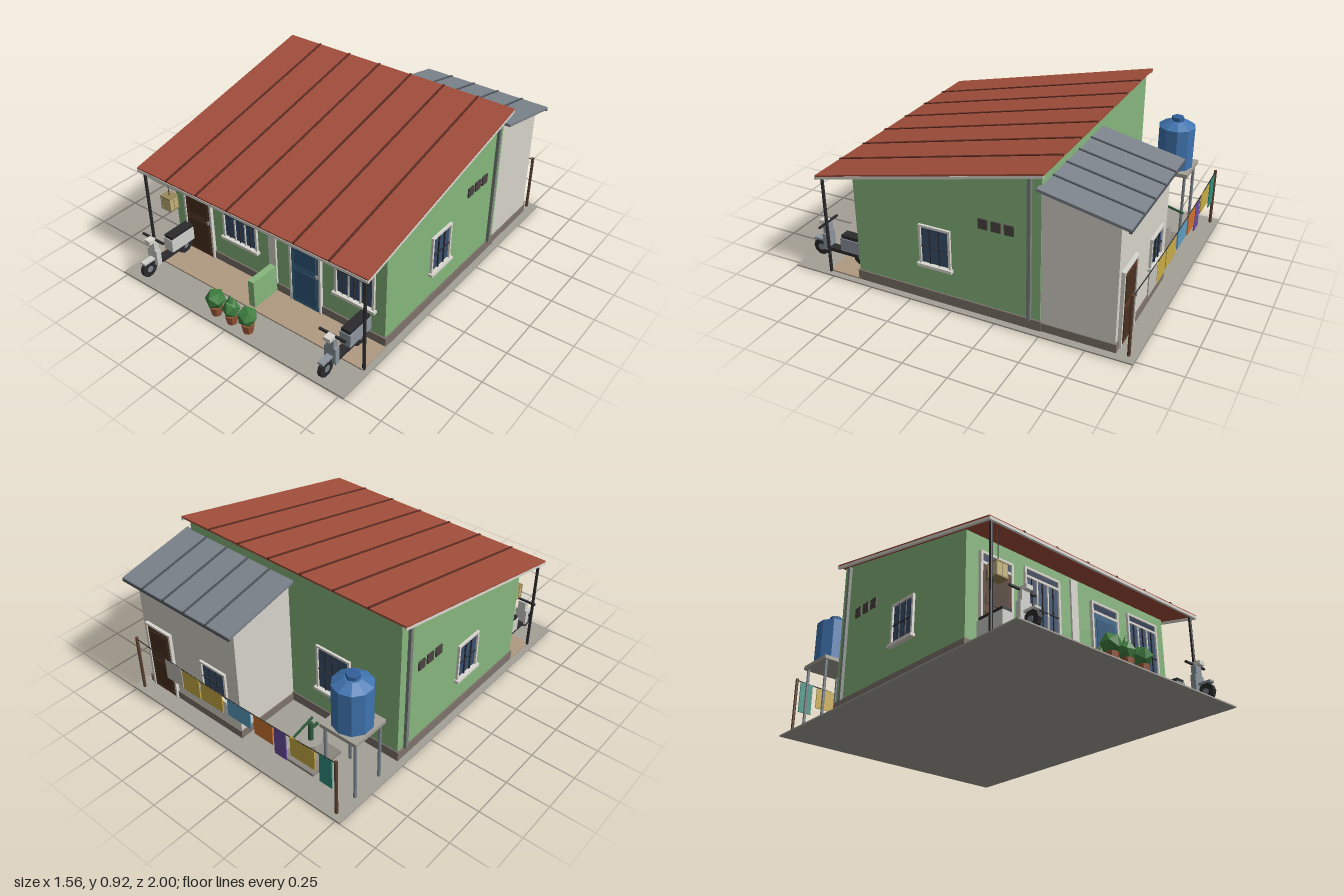
import * as THREE from 'three';

const C = {
  green: 0x86b67c, cream: 0xd6d3c9, plinth: 0x7d736b, slab: 0xa3a097, tan: 0xb09a82, roof: 0xa34f3c, rib: 0x5e2c22,
  white: 0xdad8d0, glass: 0x3a506f, darkGlass: 0x2b3a55, bar: 0x2c3138, dark: 0x2b2b2d, brown: 0x5a3a2a, darkBrown: 0x46301f,
  blue: 0x3c6a8c, darkBlue: 0x30587a, steel: 0x7b838b, darkSteel: 0x4f555c, pipe: 0x7c837e, clay: 0x9a5638, leaf: 0x3f8040,
  tank: 0x3f74b0, pump: 0x2f5a3c, concrete: 0x8b867c, wood: 0x5b4030, cage: 0xc4b27c,
};
const mats = {};
const mat = c => (mats[c] ??= new THREE.MeshStandardMaterial({ color: c, flatShading: true }));

function add(parent, name, geo, color, x = 0, y = 0, z = 0) {
  const m = new THREE.Mesh(geo, mat(color));
  m.name = name;
  m.position.set(x, y, z);
  parent.add(m);
  return m;
}
// Box given by its min and max on each axis
const box = (p, name, c, x0, x1, y0, y1, z0, z1) =>
  add(p, name, new THREE.BoxGeometry(x1 - x0, y1 - y0, z1 - z0), c, (x0 + x1) / 2, (y0 + y1) / 2, (z0 + z1) / 2);
const cyl = (p, name, c, r0, r1, y0, y1, x, z, n = 8) =>
  add(p, name, new THREE.CylinderGeometry(r1, r0, y1 - y0, n), c, x, (y0 + y1) / 2, z);
// Side profile of [z, y] points, swept from x0 to x1
function prism(p, name, c, pts, x0, x1) {
  const s = new THREE.Shape(pts.map(([z, y]) => new THREE.Vector2(-z, y)));
  const g = new THREE.ExtrudeGeometry(s, { depth: x1 - x0, bevelEnabled: false });
  return add(p, name, g.rotateY(Math.PI / 2).translate(x0, 0, 0), c);
}
// Sloped slab between two z positions
const slope = (p, name, c, za, ya, zb, yb, t, x0, x1) =>
  prism(p, name, c, [[za, ya], [zb, yb], [zb, yb - t], [za, ya - t]], x0, x1);
function group(p, name, x = 0, y = 0, z = 0, ry = 0) {
  const g = new THREE.Group();
  g.name = name;
  g.position.set(x, y, z);
  g.rotation.y = ry;
  p.add(g);
  return g;
}

// Window facing local +z, with grille and optional transom
function makeWindow(p, name, x, z, ry, w, y0, y1, transom, panes) {
  const g = group(p, name, x, 0, z, ry), h = w / 2, f = 0.013, top = transom ? y1 - 0.06 : y1 - f;
  box(g, 'glass', C.glass, -h + f, h - f, y0 + f, y1 - f, -0.01, 0.004);
  for (const s of [-1, 1]) box(g, 'jamb', C.white, s * (h - f / 2) - f / 2, s * (h - f / 2) + f / 2, y0, y1, -0.01, 0.014);
  box(g, 'head', C.white, -h, h, y1 - f, y1, -0.01, 0.014);
  box(g, 'sill', C.white, -h - 0.01, h + 0.01, y0 - 0.008, y0 + f * 0.7, -0.01, 0.026);
  if (transom) {
    box(g, 'transomRail', C.white, -h, h, top, top + 0.014, -0.01, 0.013);
    box(g, 'transomGlass', C.darkGlass, -h + f, h - f, top + 0.014, y1 - f, -0.01, 0.006);
  }
  const step = (w - 2 * f) / panes, mid = (y0 + top) / 2;
  for (let i = 0; i < panes; i++) {
    const bx = -h + f + step * i;
    if (i && transom) box(g, 'mullion', C.white, bx - 0.004, bx + 0.004, y0, top, 0, 0.011);
    else if (i) box(g, 'bar', C.bar, bx - 0.003, bx + 0.003, y0 + f, top, 0, 0.012);
    if (transom) box(g, 'bar', C.bar, bx + step / 2 - 0.002, bx + step / 2 + 0.002, y0 + f, top, 0, 0.012);
  }
  box(g, 'crossBar', C.bar, -h + f, h - f, mid - 0.002, mid + 0.002, 0, 0.012);
}

// Panelled door facing local +z
function makeDoor(p, name, x, z, ry, w, y1, color, panel, transom) {
  const g = group(p, name, x, 0, z, ry), h = w / 2, f = 0.013, top = transom ? y1 - 0.07 : y1 - f;
  for (const s of [-1, 1]) box(g, 'jamb', C.white, s * (h - f / 2) - f / 2, s * (h - f / 2) + f / 2, 0.01, y1, -0.01, 0.016);
  box(g, 'head', C.white, -h, h, y1 - f, y1, -0.01, 0.016);
  box(g, 'leaf', color, -h + f, h - f, 0.01, top, -0.01, 0.01);
  const mid = top * 0.53;
  for (const [a, b] of [[0.04, mid - 0.02], [mid + 0.02, top - 0.03]])
    box(g, 'panel', panel, -h + 0.035, h - 0.035, a, b, 0, 0.013);
  box(g, 'handle', C.steel, h - 0.032, h - 0.02, mid - 0.012, mid + 0.006, 0, 0.024);
  if (transom) {
    box(g, 'transomRail', C.white, -h, h, top, top + 0.015, -0.01, 0.015);
    box(g, 'transomGlass', C.darkGlass, -h + f, h - f, top + 0.015, y1 - f, -0.01, 0.006);
  }
}

// Parked scooter facing +z
function makeScooter(p, x, color) {
  const g = group(p, 'scooter', x, 0, 0);
  for (const z of [0.937, 0.663]) {
    add(g, 'wheel', new THREE.CylinderGeometry(0.05, 0.05, 0.024, 10).rotateZ(Math.PI / 2), C.dark, 0, 0.062, z);
    add(g, 'hub', new THREE.CylinderGeometry(0.02, 0.02, 0.028, 8).rotateZ(Math.PI / 2), C.steel, 0, 0.062, z);
  }
  box(g, 'footboard', C.dark, -0.024, 0.024, 0.062, 0.084, 0.68, 0.89);
  box(g, 'rearBody', color, -0.034, 0.034, 0.09, 0.17, 0.6, 0.78);
  box(g, 'seat', C.dark, -0.028, 0.028, 0.17, 0.19, 0.605, 0.775);
  box(g, 'legShield', color, -0.036, 0.036, 0.07, 0.17, 0.868, 0.9);
  box(g, 'steeringColumn', color, -0.024, 0.024, 0.17, 0.225, 0.868, 0.9);
  box(g, 'frontFender', color, -0.018, 0.018, 0.108, 0.12, 0.89, 0.975);
  box(g, 'headlight', C.white, -0.02, 0.02, 0.222, 0.246, 0.88, 0.925);
  box(g, 'handlebar', C.dark, -0.082, 0.082, 0.23, 0.24, 0.873, 0.885);
}

export function createModel() {
  const root = new THREE.Group();
  root.name = 'rowHouse';

  // Ground and plinths
  box(root, 'groundSlab', C.slab, -0.78, 0.78, 0, 0.008, -1, 1);
  box(root, 'porchFloor', C.tan, -0.745, 0.745, 0.006, 0.016, 0.59, 0.8);
  box(root, 'housePlinth', C.plinth, -0.743, 0.743, 0.006, 0.066, -0.496, 0.602);
  box(root, 'annexPlinth', C.plinth, -0.006, 0.737, 0.006, 0.056, -0.898, -0.48);

  // Main walls and sloping roof
  const roofY = z => 0.612 + (0.81 - z) * 0.2287;
  prism(root, 'houseWalls', C.green, [[0.594, 0.03], [0.594, roofY(0.594) - 0.012], [-0.49, roofY(-0.49) - 0.012], [-0.49, 0.03]], -0.735, 0.735);
  slope(root, 'mainRoof', C.roof, 0.81, 0.612, -0.515, roofY(-0.515), 0.012, -0.775, 0.775);
  for (const x of [-0.55, -0.33, -0.11, 0.11, 0.33, 0.55])
    slope(root, 'roofRib', C.rib, 0.811, 0.617, -0.516, roofY(-0.516) + 0.005, 0.012, x - 0.006, x + 0.006);
  for (const s of [-1, 1])
    slope(root, 'sideFascia', C.white, 0.81, 0.603, -0.515, roofY(-0.515) - 0.009, 0.016, s * 0.77 - 0.006, s * 0.77 + 0.006);
  box(root, 'frontFascia', C.white, -0.776, 0.776, 0.588, 0.604, 0.8, 0.813);

  // Rear annex
  const annexY = z => 0.833 + (z + 0.48) * 0.213;
  prism(root, 'annexWalls', C.cream, [[-0.48, 0.03], [-0.48, 0.822], [-0.89, annexY(-0.89) - 0.01], [-0.89, 0.03]], 0, 0.731);
  slope(root, 'annexRoof', C.steel, -0.48, 0.833, -0.95, annexY(-0.95), 0.016, -0.036, 0.776);
  for (const x of [0.13, 0.29, 0.45, 0.61])
    slope(root, 'annexRib', C.darkSteel, -0.485, 0.837, -0.951, annexY(-0.951) + 0.005, 0.01, x - 0.006, x + 0.006);
  box(root, 'annexGutter', C.darkSteel, -0.036, 0.776, 0.712, 0.726, -0.952, -0.938);

  // Two mirrored-unit street fronts
  makeDoor(root, 'brownDoor', -0.55, 0.598, 0, 0.212, 0.56, C.brown, C.darkBrown, true);
  makeDoor(root, 'blueDoor', 0.228, 0.598, 0, 0.212, 0.56, C.blue, C.darkBlue, true);
  for (const x of [-0.235, 0.545]) makeWindow(root, 'frontWindow', x, 0.594, 0, 0.25, 0.212, 0.588, true, 3);
  box(root, 'pilaster', C.white, -0.027, 0.023, 0.066, 0.635, 0.59, 0.606);
  box(root, 'porchDivider', C.green, -0.02, 0.02, 0.01, 0.185, 0.59, 0.785);

  // Rear openings
  makeDoor(root, 'rearDoor', 0.6, -0.893, Math.PI, 0.2, 0.45, C.brown, C.darkBrown, false);
  makeWindow(root, 'annexWindow', 0.18, -0.89, Math.PI, 0.19, 0.22, 0.4, false, 3);
  makeWindow(root, 'rearWindow', -0.305, -0.49, Math.PI, 0.23, 0.21, 0.5, false, 4);

  // Sides: window, vents, downpipe and porch post
  for (const s of [-1, 1]) {
    makeWindow(root, 'sideWindow', s * 0.735, 0.105, s * Math.PI / 2, 0.186, 0.222, 0.458, false, 3);
    for (const z of [-0.175, -0.248, -0.32])
      box(root, 'vent', 0x4d4444, s * 0.737 - 0.006, s * 0.737 + 0.006, 0.52, 0.576, z - 0.026, z + 0.026);
    box(root, 'downpipe', C.pipe, s * 0.743 - 0.01, s * 0.743 + 0.01, 0.06, 0.872, -0.441, -0.421);
    cyl(root, 'porchPost', C.dark, 0.009, 0.009, 0.008, 0.6, s * 0.745, 0.787);
    cyl(root, 'linePost', C.wood, 0.009, 0.009, 0.006, 0.36, s * 0.725, -0.96);
  }

  // Hanging bird cage
  const cage = group(root, 'birdCage', -0.645, 0, 0.722);
  cyl(cage, 'cord', C.dark, 0.002, 0.002, 0.43, 0.62, 0, 0, 5);
  box(cage, 'cageBody', C.cage, -0.034, 0.034, 0.355, 0.434, -0.03, 0.03);
  for (const y of [0.353, 0.43]) box(cage, 'cageRim', 0x9a8858, -0.037, 0.037, y, y + 0.007, -0.033, 0.033);
  for (const x of [-1, 0, 1]) for (const z of [-1, 0, 1])
    if (x || z) box(cage, 'cageBar', 0x9a8858, x * 0.034 - 0.002, x * 0.034 + 0.002, 0.355, 0.434, z * 0.03 - 0.002, z * 0.03 + 0.002);

  // Scooters and potted shrubs
  makeScooter(root, -0.635, 0xcfcfca);
  makeScooter(root, 0.62, 0x8c949e);
  [[-0.118, 0.057, 0.112], [-0.007, 0.05, 0.104], [0.108, 0.057, 0.112]].forEach(([x, r, y], i) => {
    cyl(root, 'flowerPot', C.clay, 0.027, 0.036, 0.006, 0.064, x, 0.935, 8);
    const leaf = add(root, 'shrub', new THREE.IcosahedronGeometry(r, 0), C.leaf, x, y, 0.935);
    leaf.scale.y = i === 1 ? 1.15 : 1.05;
    leaf.rotation.y = i * 1.3;
  });
  add(root, 'shrubTip', new THREE.ConeGeometry(0.022, 0.05, 5), C.leaf, -0.007, 0.17, 0.935);

  // Water tank on its stand
  const tank = group(root, 'waterTank', -0.635, 0, -0.73);
  for (const x of [-0.095, 0.095]) for (const z of [-0.095, 0.095]) cyl(tank, 'standLeg', C.steel, 0.009, 0.009, 0.006, 0.375, x, z);
  box(tank, 'standTop', C.slab, -0.115, 0.115, 0.372, 0.394, -0.115, 0.115);
  cyl(tank, 'tankBody', C.tank, 0.108, 0.108, 0.394, 0.645, 0, 0, 10);
  cyl(tank, 'tankShoulder', C.tank, 0.108, 0.045, 0.645, 0.678, 0, 0, 10);
  cyl(tank, 'tankLid', 0x33609a, 0.037, 0.037, 0.676, 0.7, 0, 0, 6);

  // Well with hand pump
  const well = group(root, 'well', -0.37, 0, -0.75);
  box(well, 'wellBase', C.concrete, -0.11, 0.11, 0.006, 0.024, -0.11, 0.11);
  cyl(well, 'wellRing', C.slab, 0.064, 0.064, 0.02, 0.125, 0, 0, 9);
  cyl(well, 'pumpBody', C.pump, 0.015, 0.013, 0.125, 0.24, 0, 0);
  box(well, 'pumpSpout', C.pump, -0.007, 0.007, 0.19, 0.204, 0, 0.055);
  const handle = box(well, 'pumpHandle', C.pump, -0.005, 0.005, 0.24, 0.25, -0.135, 0.02);
  handle.rotation.x = -0.25;

  // Clothesline with laundry
  const lineY = x => 0.325 + 0.025 * (x / 0.725) ** 2;
  const pts = [-0.73, -0.4, 0, 0.4, 0.73].map(x => new THREE.Vector3(x, lineY(x), -0.96));
  add(root, 'clothesline', new THREE.TubeGeometry(new THREE.CatmullRomCurve3(pts), 16, 0.003, 5), C.dark);
  for (const [x0, x1, len, c] of [
    [0.36, 0.49, 0.13, 0xc2bfb8], [0.225, 0.355, 0.13, 0xc9ab45], [0.05, 0.21, 0.12, 0xc9ab45], [-0.155, 0.01, 0.11, 0x5a9cc0],
    [-0.31, -0.18, 0.125, 0xd0722f], [-0.4, -0.32, 0.175, 0x6a4ca0], [-0.59, -0.43, 0.125, 0xc9ab45], [-0.7, -0.62, 0.185, 0x2f8f7c]]) {
    const y = lineY((x0 + x1) / 2);
    box(root, 'laundry', c, x0, x1, y - len, y, -0.963, -0.957);
  }
  return root;
}
